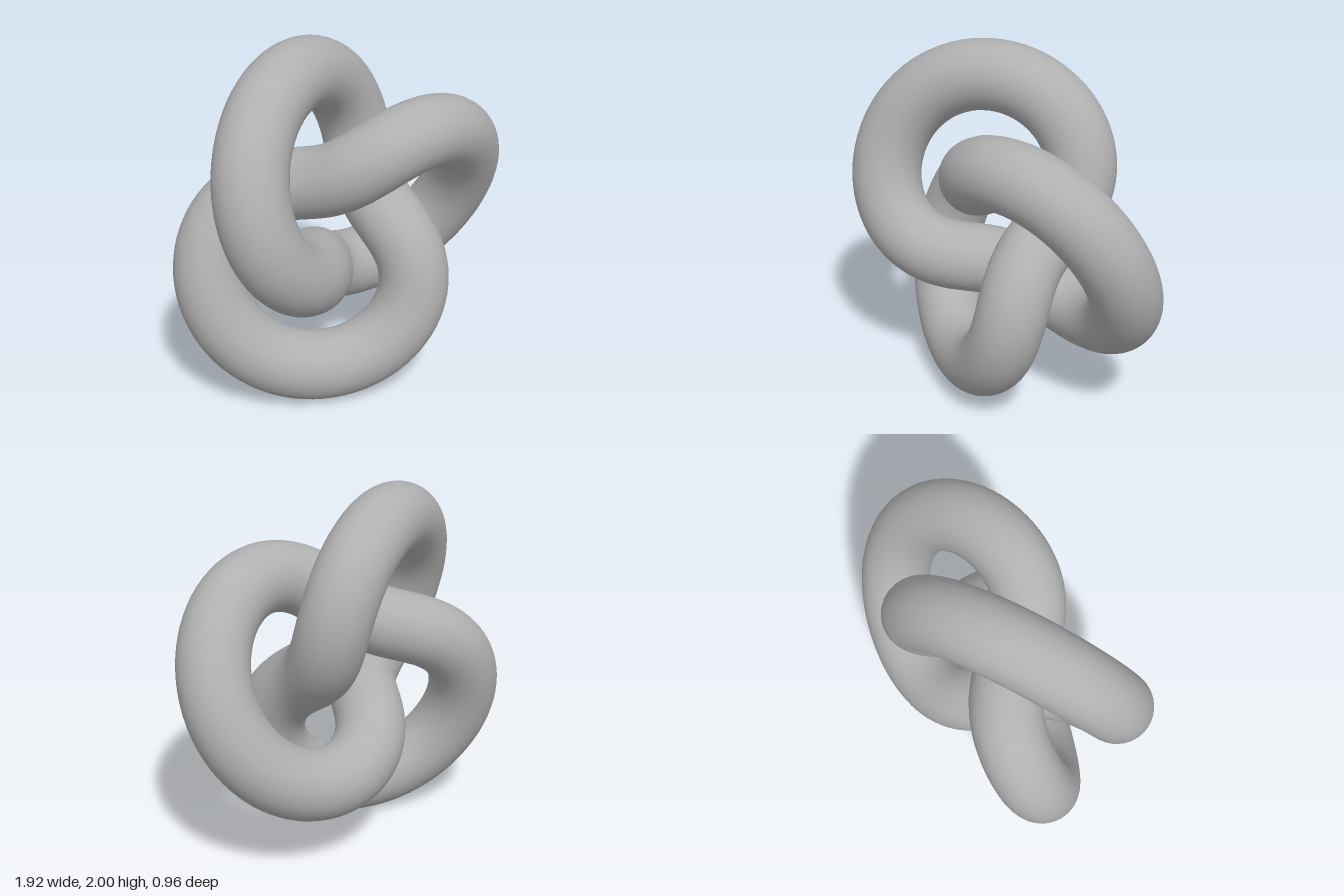
import * as THREE from 'three';

export function createModel() {
  const model = new THREE.Group();
  model.name = 'trefoilKnot';

  const grey = new THREE.MeshStandardMaterial({ color: 0xb0b0b0 });
  grey.name = 'grey';

  // One closed round tube, winding twice about the axis and three times through the ring
  const radius = 0.571, tube = 0.194;
  const knot = new THREE.Mesh(
    new THREE.TorusKnotGeometry(radius, tube, 256, 40, 2, 3), grey);
  knot.name = 'knotTube';

  // Centre the three lobes in x and stand the lowest one on the ground
  knot.position.set(-0.09, 1, 0);
  model.add(knot);
  return model;
}
